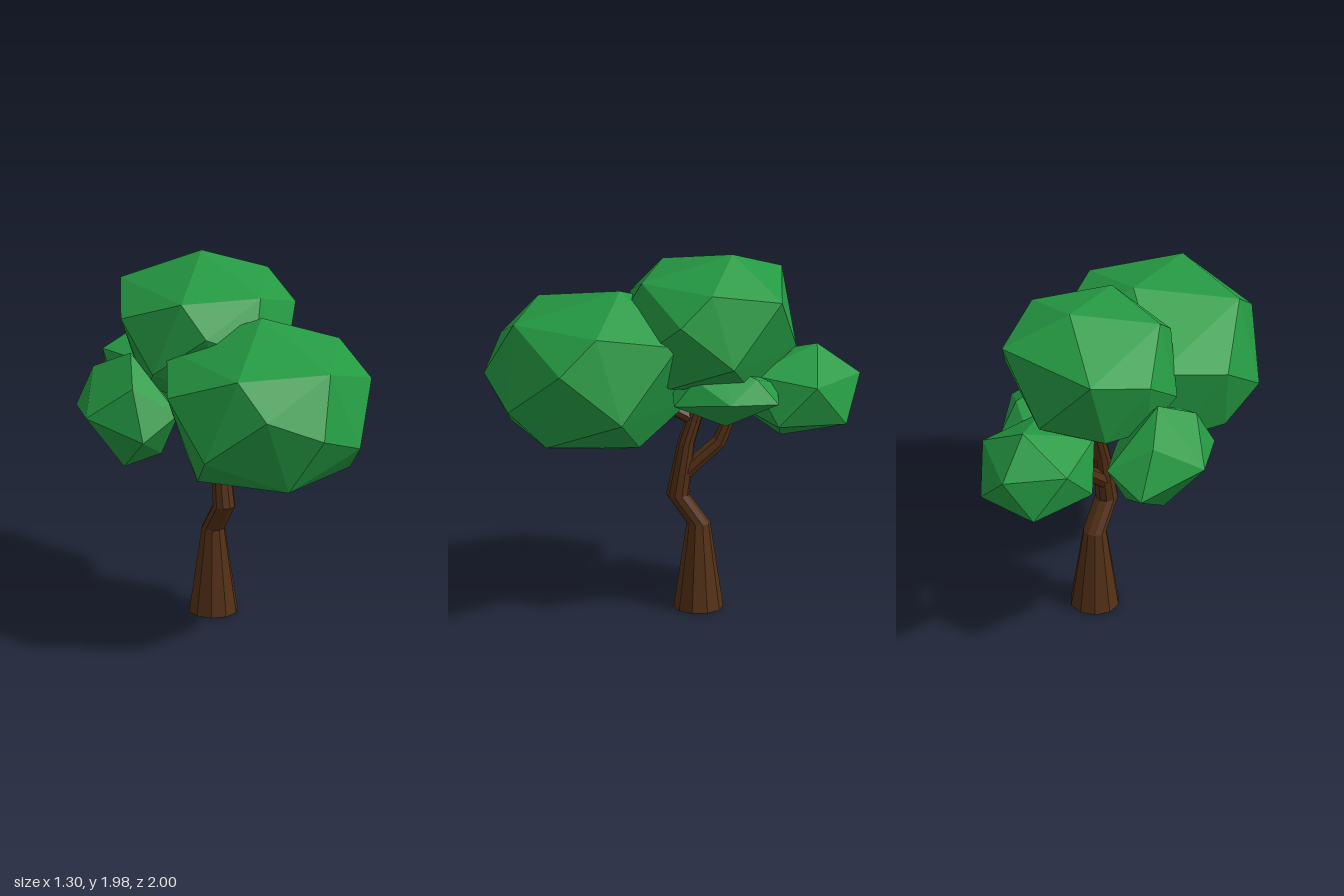
import * as THREE from 'three';
import { ConvexGeometry } from 'three/addons/geometries/ConvexGeometry.js';

const bark = new THREE.MeshStandardMaterial({ color: 0x533016, flatShading: true });
const leaf = new THREE.MeshStandardMaterial({ color: 0x259a43, flatShading: true });

// Bent, tapering limb through rings [x, y, z, radius]; rings lie flat or follow the path
function limb(name, rings, sides, level) {
  const n = rings.length - 1;
  const geo = new THREE.CylinderGeometry(1, 1, 1, sides, n);
  const pts = rings.map((r) => new THREE.Vector3(r[0], r[1], r[2]));
  const up = new THREE.Vector3(0, 1, 0);
  const turns = pts.map((p, i) => {
    const dir = pts[Math.min(i + 1, n)].clone().sub(pts[Math.max(i - 1, 0)]).normalize();
    return new THREE.Quaternion().setFromUnitVectors(up, level ? up : dir);
  });
  const pos = geo.attributes.position;
  const v = new THREE.Vector3();
  for (let k = 0; k < pos.count; k++) {
    v.fromBufferAttribute(pos, k);
    const i = Math.round((v.y + 0.5) * n);
    v.y = 0;
    v.multiplyScalar(rings[i][3]).applyQuaternion(turns[i]).add(pts[i]);
    pos.setXYZ(k, v.x, v.y, v.z);
  }
  geo.computeVertexNormals();
  const mesh = new THREE.Mesh(geo, bark);
  mesh.name = name;
  return mesh;
}

// Faceted hull of paired corners (the partner is [-x, -y, mirror * z]) plus single corners
function hull(pairs, mirror, singles = []) {
  const pts = singles.map((c) => new THREE.Vector3(...c));
  for (const [x, y, z] of pairs) {
    pts.push(new THREE.Vector3(x, y, z), new THREE.Vector3(-x, -y, mirror * z));
  }
  return new ConvexGeometry(pts);
}

export function createModel() {
  const tree = new THREE.Group();
  tree.name = 'tree';

  // Trunk and branches
  tree.add(limb('trunk', [
    [0.105, 0, -0.14, 0.132], [0.105, 0.47, -0.14, 0.063], [0.105, 0.63, -0.03, 0.061],
    [0.105, 0.92, -0.075, 0.047], [0.105, 1.3, -0.19, 0.037],
  ], 10, true));
  tree.add(limb('backBranch', [
    [0.105, 0.74, -0.05, 0.045], [0.105, 0.92, -0.25, 0.04],
    [0.105, 1.06, -0.31, 0.034], [0.105, 1.16, -0.52, 0.028],
  ], 7));
  tree.add(limb('frontBranch', [
    [0.105, 1.05, -0.11, 0.036], [0.105, 1.1, -0.02, 0.034], [0.105, 1.15, 0.12, 0.026],
  ], 7));

  // Large, many-sided clump
  const large = hull([
    [0.05, 0.46, -0.21], [0.13, 0.31, 0.36], [0.29, -0.13, 0.4],
    [0.52, 0.14, 0.14], [0.55, -0.13, -0.19], [0.44, 0.32, -0.06],
    [0.35, -0.31, 0.2],
  ], 1, [
    [0, 0, 0.51], [0, -0.16, -0.61], [0.36, 0.24, -0.5], [-0.34, 0.25, -0.54],
    [0.28, -0.34, -0.3], [-0.33, -0.28, -0.36],
  ]);
  // Small twelve-cornered clumps
  const back = hull([
    [0.03, 0.265, -0.095], [0, 0.085, -0.325], [0.3, 0.1, -0.08],
    [-0.28, 0.12, -0.125], [0.2, -0.135, -0.24], [-0.16, -0.135, -0.265],
  ], -1);
  const side = hull([
    [-0.27, 0.01, 0.02], [-0.02, -0.32, 0], [-0.09, 0.2, 0.2],
    [-0.09, 0.2, -0.2], [-0.11, -0.06, 0.34], [-0.11, -0.06, -0.34],
  ], -1);

  // Foliage: name, shape, centre, scale, turn about y
  const clumps = [
    ['frontFoliage', large, [0.1, 1.33, 0.49], [1, 1, 1], 0],
    ['topFoliage', large, [0.1, 1.585, -0.14], [0.855, 0.86, 0.855], 0],
    ['backFoliage', back, [0.1, 1.205, -0.675], [1, 1, 1], 0],
    ['rightFoliage', side, [-0.38, 1.21, -0.22], [1, 1, 1], 0],
    ['leftFoliage', side, [0.34, 1.26, -0.27], [0.75, 0.53, 0.82], Math.PI],
  ];
  for (const [name, shape, centre, size, turn] of clumps) {
    const mesh = new THREE.Mesh(shape, leaf);
    mesh.name = name;
    mesh.position.set(...centre);
    mesh.scale.set(...size);
    mesh.rotation.y = turn;
    tree.add(mesh);
  }
  return tree;
}
